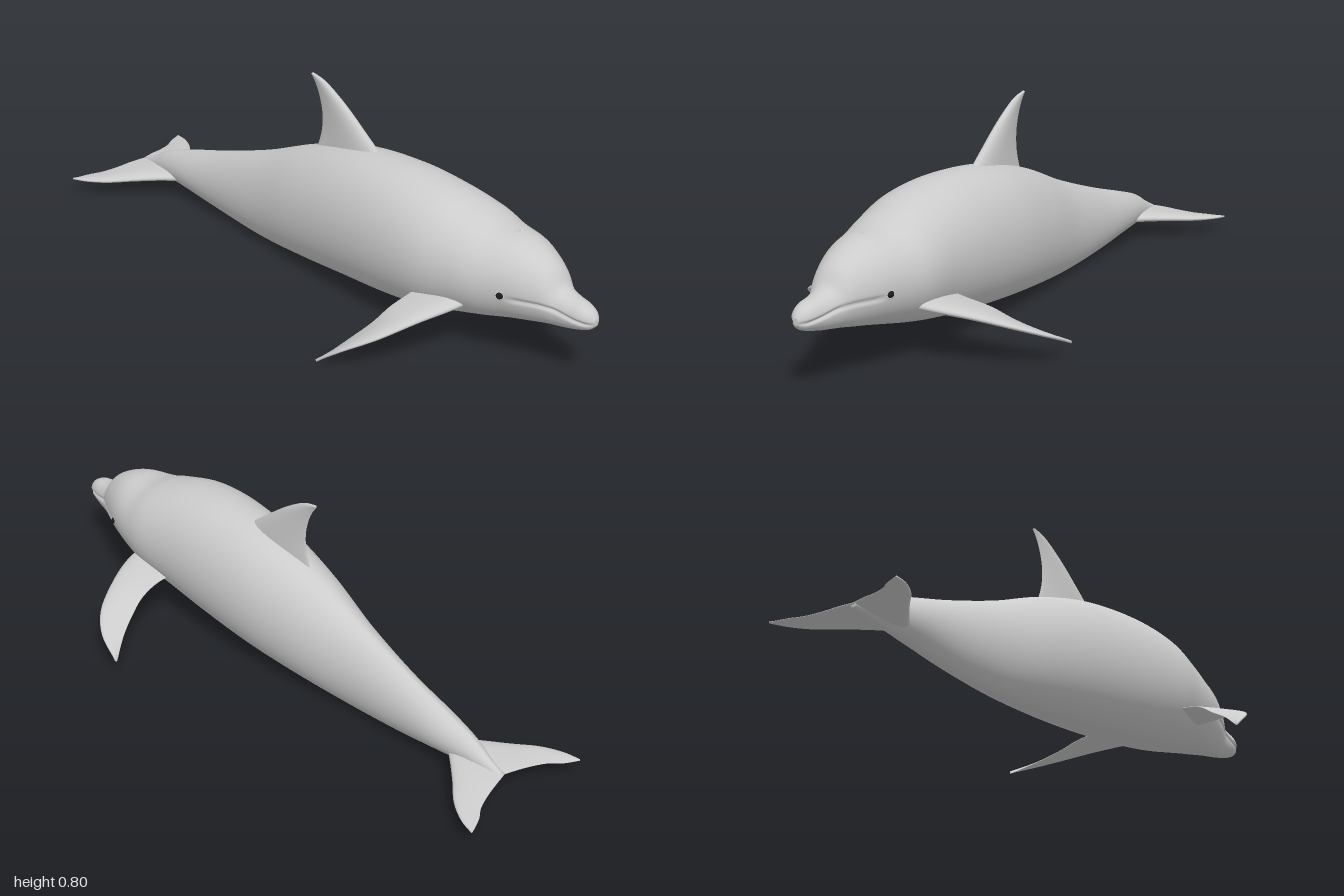
import * as THREE from 'three';

const SKIN = new THREE.MeshStandardMaterial({ color: 0xcccccc });
const DARK = new THREE.MeshStandardMaterial({ color: 0x1c1c1c });
const V = (x, y, z) => new THREE.Vector3(x, y, z);

// The animal swims along the diagonal: u = along the body, v = sideways, y = up
const place = (u, v, y) => V((u + v) * Math.SQRT1_2, y, (u - v) * Math.SQRT1_2);

// Smooth interpolation of one column of a station table
function sample(rows, col, t) {
  const f = t * (rows.length - 1), i = Math.min(Math.floor(f), rows.length - 2), k = f - i;
  const at = (n) => rows[Math.max(0, Math.min(rows.length - 1, n))][col];
  const [a, b, c, d] = [at(i - 1), at(i), at(i + 1), at(i + 2)];
  return b + 0.5 * k * (c - a + k * (2 * a - 5 * b + 4 * c - d + k * (3 * (b - c) + d - a)));
}

// Closed skin over a row of rings, capped at both ends
function loft(name, rings) {
  const m = rings[0].length, n = rings.length, index = [];
  const points = rings.flat();
  const centre = (ring) => ring.reduce((s, p) => s.add(p), V(0, 0, 0)).divideScalar(m);
  points.push(centre(rings[0]), centre(rings[n - 1]));
  for (let j = 0; j < m; j++) {
    const k = (j + 1) % m;
    for (let i = 0; i < n - 1; i++) {
      const a = i * m + j, b = i * m + k;
      index.push(a, b, a + m, b, b + m, a + m);
    }
    index.push(n * m, k, j, n * m + 1, (n - 1) * m + j, (n - 1) * m + k);
  }
  const geometry = new THREE.BufferGeometry().setFromPoints(points);
  geometry.setIndex(index);
  geometry.computeVertexNormals();
  const mesh = new THREE.Mesh(geometry, SKIN);
  mesh.name = name;
  return mesh;
}

// Fin with a rounded leading edge and a thin trailing edge
function fin(name, lead, trail, thickRoot, thickTip) {
  const le = (t) => V(...[0, 1, 2].map((c) => sample(lead, c, t)));
  const te = (t) => V(...[0, 1, 2].map((c) => sample(trail, c, t)));
  const mid = (t) => le(t).add(te(t)).multiplyScalar(0.5);
  const rings = [];
  for (let i = 0; i <= 40; i++) {
    const t = i / 40, a = le(t), b = te(t);
    const span = mid(Math.min(1, t + 0.02)).sub(mid(Math.max(0, t - 0.02)));
    const normal = span.cross(a.clone().sub(b)).normalize();
    const half = THREE.MathUtils.lerp(thickRoot, thickTip, t) / 2;
    rings.push(Array.from({ length: 28 }, (_, j) => {
      const w = (j / 28) * Math.PI * 2, p = (1 + Math.cos(w)) / 2;
      return b.clone().lerp(a, p).addScaledVector(normal, half * Math.sin(w) * (0.35 + 0.9 * p));
    }));
  }
  return loft(name, rings);
}

// Body stations: u, top, bottom, half width, sideways shift, keel sharpness
const BODY = [
  [-1.0, 0.105, 0.085, 0.012, 0.01, 1.2],
  [-0.93, 0.14, 0.075, 0.026, 0.01, 1.3],
  [-0.84, 0.19, 0.064, 0.046, 0.01, 1.3],
  [-0.707, 0.235, 0.05, 0.066, 0.01, 1.25],
  [-0.5, 0.3, 0.022, 0.08, 0.007, 1.2],
  [-0.25, 0.39, 0.005, 0.11, 0, 1.12],
  [0, 0.497, 0.015, 0.16, -0.002, 1.05],
  [0.25, 0.57, 0.035, 0.197, -0.005, 1],
  [0.5, 0.592, 0.06, 0.215, -0.017, 0.96],
  [0.7, 0.577, 0.09, 0.217, -0.022, 0.95],
  [0.85, 0.54, 0.125, 0.204, -0.01, 0.95],
  [0.95, 0.506, 0.15, 0.183, -0.008, 0.95],
  [1.05, 0.492, 0.175, 0.152, -0.005, 0.95],
  [1.12, 0.468, 0.19, 0.125, -0.006, 0.95],
  [1.19, 0.425, 0.205, 0.092, -0.008, 0.95],
  [1.235, 0.365, 0.213, 0.07, -0.01, 0.95],
  [1.28, 0.346, 0.222, 0.059, -0.012, 0.92],
  [1.33, 0.337, 0.235, 0.048, -0.014, 0.92],
  [1.365, 0.32, 0.248, 0.034, -0.014, 0.95],
  [1.385, 0.295, 0.268, 0.012, -0.014, 1],
];

// Height of the mouth line along the head
const mouthLine = (u) => 0.276 + 0.03 * THREE.MathUtils.smoothstep(1.385 - u, 0, 0.22);

function body() {
  const rows = 190, sides = 120, rings = [];
  for (let i = 0; i <= rows; i++) {
    const [u, top, bottom, half, shift, keel] = [0, 1, 2, 3, 4, 5].map((c) => sample(BODY, c, i / rows));
    const cy = (top + bottom) / 2, ry = (top - bottom) / 2;
    const groove = THREE.MathUtils.smoothstep(u, 1.06, 1.12) * Math.min(0.009, half * 0.2);
    rings.push(Array.from({ length: sides }, (_, j) => {
      const a = (j / sides) * Math.PI * 2, cos = Math.cos(a);
      const y = cy + ry * Math.sin(a);
      const cut = groove * Math.exp(-(((y - mouthLine(u)) / 0.007) ** 2));
      const v = Math.sign(cos) * Math.max(0, half * Math.abs(cos) ** keel - cut);
      return place(u, shift + v, y);
    }));
  }
  return loft('body', rings);
}

export function createModel() {
  const model = new THREE.Group();
  model.name = 'dolphin';
  model.add(body());

  // Dorsal fin, outlined in u and y
  const upright = (list) => list.map(([u, y]) => place(u, -0.004, y).toArray());
  model.add(fin('dorsalFin',
    upright([[0.38, 0.55], [0.28, 0.63], [0.2, 0.695], [0.13, 0.745], [0.06, 0.785], [0, 0.8]]),
    upright([[0.01, 0.46], [0.045, 0.56], [0.052, 0.64], [0.038, 0.71], [0.016, 0.76], [-0.008, 0.794]]),
    0.07, 0.01));

  // Paired fins, outlined in x and z on the left and swapped across the diagonal for the right
  const flipperLead = [[0.7, 0.62], [0.78, 0.5], [0.83, 0.37], [0.865, 0.22], [0.85, 0.1], [0.79, 0]];
  const flipperTrail = [[0.55, 0.42], [0.64, 0.35], [0.7, 0.27], [0.735, 0.2], [0.765, 0.11], [0.783, 0.002]];
  const flukeLead = [[-0.5, -0.5], [-0.513, -0.62], [-0.52, -0.74], [-0.522, -0.85], [-0.545, -0.94], [-0.58, -1]];
  const flukeTrail = [[-0.712, -0.712], [-0.68, -0.765], [-0.647, -0.82], [-0.62, -0.88], [-0.61, -0.935], [-0.585, -0.998]];
  const flipperHeights = {
    left: [0.235, 0.222, 0.2, 0.163, 0.12, 0.072],
    right: [0.235, 0.222, 0.195, 0.145, 0.09, 0.014],
  };
  const flukeHeights = [0.1, 0.096, 0.088, 0.08, 0.073, 0.067];
  for (const side of ['left', 'right']) {
    const lay = (list, heights, drop = 0) => list.map(([x, z], i) =>
      side === 'left' ? [x, heights[i] - drop, z] : [z, heights[i] - drop, x]);
    const h = flipperHeights[side];
    model.add(fin(side + 'Flipper', lay(flipperLead, h), lay(flipperTrail, h, 0.01), 0.055, 0.01));
    model.add(fin(side + 'Fluke', lay(flukeLead, flukeHeights), lay(flukeTrail, flukeHeights), 0.05, 0.008));

    // Eye with a raised lid around it
    const s = side === 'left' ? 1 : -1;
    const eye = new THREE.Group();
    eye.name = side + 'Eye';
    const ball = new THREE.Mesh(new THREE.SphereGeometry(0.014, 20, 14), DARK);
    ball.name = 'eyeball';
    const lid = new THREE.Mesh(new THREE.TorusGeometry(0.015, 0.005, 10, 28), SKIN);
    lid.name = 'eyelid';
    eye.add(ball, lid);
    eye.position.copy(place(1.06, -0.006 + s * 0.143, 0.315));
    eye.lookAt(place(1.06 + 0.4, s * 1.1, 0.32));
    model.add(eye);
  }

  // Blowhole: a short crescent across the top of the head
  const slit = new THREE.CatmullRomCurve3([
    place(1.0, -0.045, 0.486), place(1.012, -0.005, 0.496), place(1.0, 0.035, 0.486)]);
  const blowhole = new THREE.Mesh(new THREE.TubeGeometry(slit, 20, 0.005, 8), SKIN);
  blowhole.name = 'blowhole';
  model.add(blowhole);

  return model;
}
